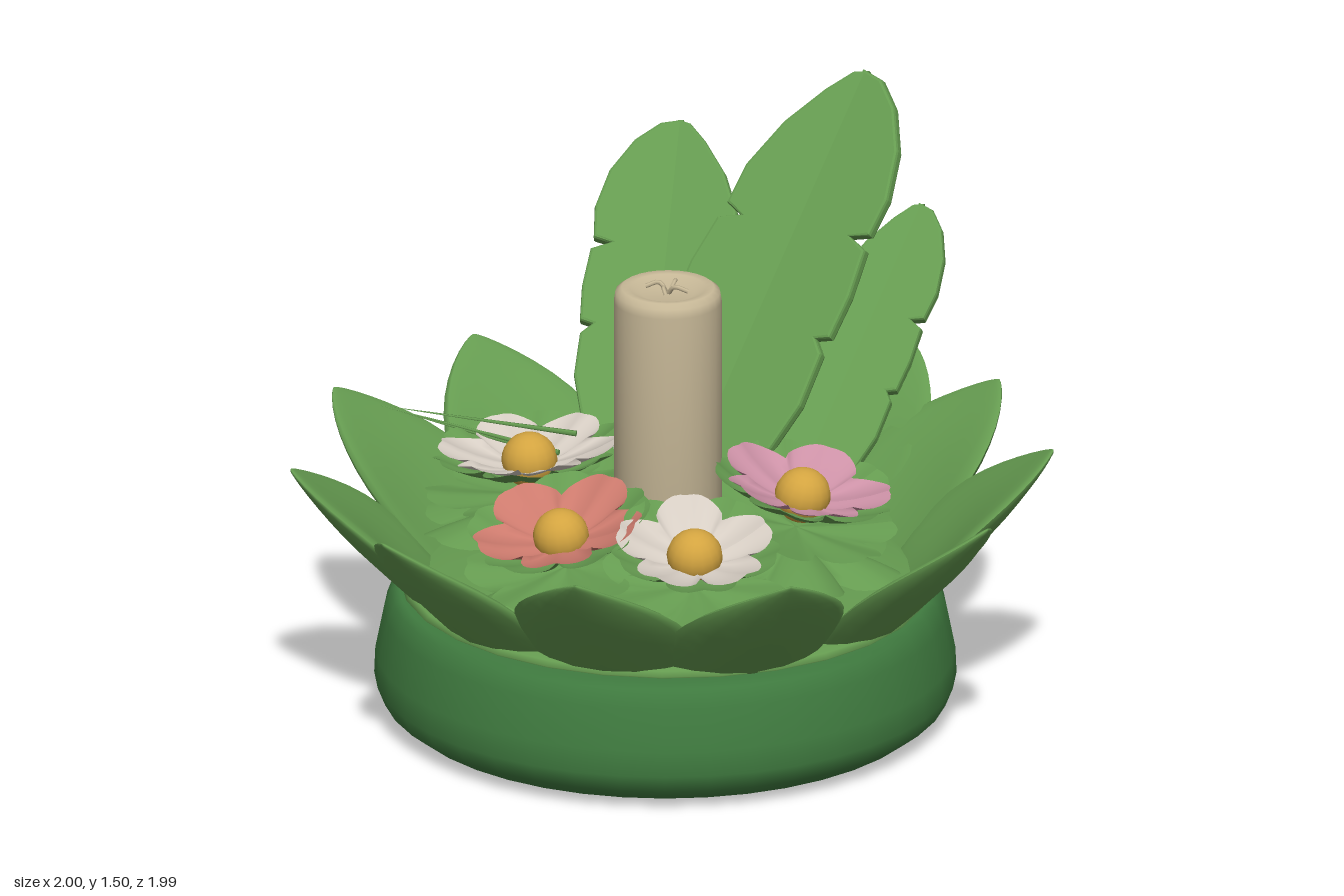
import * as THREE from 'three';

const mat = (name, color, side = THREE.FrontSide) => {
  const m = new THREE.MeshStandardMaterial({ color, side });
  m.name = name;
  return m;
};

export function createModel() {
  const root = new THREE.Group();
  const baseGreen = mat('bowl green', 0x407c40);
  const leafGreen = mat('leaf green', 0x659b50, THREE.DoubleSide);
  const wax = mat('candle wax', 0xc8b998);
  const white = mat('white petal', 0xd6cdc3, THREE.DoubleSide);
  const pink = mat('pink petal', 0xcc91a6, THREE.DoubleSide);
  const coral = mat('coral petal', 0xcc7a6d, THREE.DoubleSide);
  const gold = mat('golden centre', 0xd3a440);

  const add = (parent, name, geo, material) => {
    const m = new THREE.Mesh(geo, material);
    m.name = name;
    parent.add(m);
    return m;
  };
  const lathe = (pts, seg) => new THREE.LatheGeometry(pts.map(p => new THREE.Vector2(...p)), seg);

  // Round bowl
  add(root, 'bowl', lathe([[0, 0.005], [0.62, 0.01], [0.7, 0.025], [0.745, 0.06], [0.765, 0.11], [0.762, 0.18],
    [0.74, 0.29], [0.722, 0.34], [0.7, 0.355], [0, 0.355]], 40), baseGreen).position.z = 0.05;

  // Cupped blade running outwards along +z and rising to a rounded point
  const blade = (r0, r1, y0, y1, halfWidth, thick) => {
    const g = new THREE.SphereGeometry(1, 16, 22);
    const p = g.attributes.position;
    for (let i = 0; i < p.count; i++) {
      const s = (1 - p.getY(i)) / 2;
      const ring = Math.max(Math.hypot(p.getX(i), p.getZ(i)), 1e-5);
      const w = halfWidth * Math.pow(Math.max(Math.sin(Math.PI * Math.pow(s, 1.3)), 0), 0.78);
      const x = p.getX(i) / ring * w;
      const t = p.getZ(i) / ring * thick * Math.min(1, w / halfWidth + 0.1);
      const y = y0 + (y1 - y0) * Math.pow(s, 1.1);
      p.setXYZ(i, x, y + t * 0.75 + x * x * 0.4, r0 + (r1 - r0) * s - t * 0.65 - x * x * 0.9);
    }
    g.computeVertexNormals();
    return g;
  };

  // Ring of eleven outer leaves
  const tips = [[0.21, -0.97], [0.53, -0.84], [0.89, -0.45], [1.0, 0.14], [0.73, 0.75], [0.22, 1.0],
    [-0.37, 0.96], [-0.83, 0.59], [-1.0, 0.01], [-0.85, -0.5], [-0.3, -0.97]];
  const ring = new THREE.Group();
  ring.name = 'outerLeaves';
  ring.position.z = 0.02;
  root.add(ring);
  tips.forEach(([x, z]) => {
    const g = blade(0.39, Math.hypot(x, z - 0.02), 0.13, 0.72, 0.238, 0.032);
    add(ring, 'outerLeaf', g, leafGreen).rotation.y = Math.atan2(x, z - 0.02);
  });

  // Leafy floor inside the ring
  const mound = add(root, 'leafFloor', new THREE.SphereGeometry(1, 28, 16), leafGreen);
  mound.scale.set(0.7, 0.06, 0.68);
  mound.position.set(0, 0.36, 0.05);

  // Candle with a softened rim and curled wick
  const candle = new THREE.Group();
  candle.name = 'candle';
  candle.position.set(-0.003, 0, 0.03);
  root.add(candle);
  add(candle, 'candleBody', lathe([[0, 0.38], [0.142, 0.38], [0.142, 1.15], [0.138, 1.175], [0.122, 1.187],
    [0.1, 1.185], [0.07, 1.172], [0, 1.17]], 28), wax);
  for (let i = 0; i < 4; i++) {
    const curve = new THREE.CatmullRomCurve3([[0, 1.165, 0], [0.025, 1.195, 0.01], [0.06, 1.185, 0]]
      .map(p => new THREE.Vector3(...p).applyAxisAngle(new THREE.Vector3(0, 1, 0), i * 1.7)));
    add(candle, 'wickStrand', new THREE.TubeGeometry(curve, 8, 0.006, 6), wax);
  }

  // Lobed, cupped disc of petals
  const corolla = (R, lobes, cup) => {
    const g = new THREE.RingGeometry(0.02, 1, lobes * 14, 5);
    const p = g.attributes.position;
    for (let i = 0; i < p.count; i++) {
      const a = Math.atan2(p.getY(i), p.getX(i)), r = Math.hypot(p.getX(i), p.getY(i));
      const c = Math.abs(Math.cos(a * lobes / 2));
      const k = R * (0.66 + 0.34 * Math.pow(c, 0.65) - 0.06 * Math.pow(c, 24)) * r;
      p.setXYZ(i, Math.cos(a) * k, cup * r * r + 0.012 * r * Math.cos(a * lobes), -Math.sin(a) * k);
    }
    g.computeVertexNormals();
    return g;
  };

  // Flowers: x, y, z, radius, lobes, colour, outward tilt, turn
  [[-0.41, 0.61, 0.03, 0.245, 6, white, 0.08, 0.3], [0.34, 0.61, -0.07, 0.235, 5, pink, 0.2, 0.5],
    [-0.12, 0.58, 0.41, 0.235, 5, coral, 0.25, 0.1], [0.25, 0.575, 0.37, 0.215, 5, white, 0.25, 0.9],
  ].forEach(([x, y, z, R, lobes, color, tilt, turn]) => {
    const f = new THREE.Group();
    f.name = 'flower';
    f.position.set(x, y, z);
    f.quaternion.setFromAxisAngle(new THREE.Vector3(z, 0, -x).normalize(), tilt);
    root.add(f);
    add(f, 'flowerPetals', corolla(R, lobes, 0.06), color).rotation.y = turn;
    const calyx = add(f, 'calyx', corolla(R * 1.08, lobes, 0.075), leafGreen);
    calyx.rotation.y = turn + Math.PI / lobes;
    calyx.position.y = -0.022;
    // Leafy tiers below the bloom, drooping towards the floor
    [[1.18, 0.02, -0.075, 0.25], [1.3, -0.04, -0.1, 0.7]].forEach(([k, cup, dy, da]) => {
      const tier = add(f, 'leafTier', corolla(R * k, 6, cup), leafGreen);
      tier.rotation.y = turn + da;
      tier.position.y = dy;
    });
    add(f, 'flowerCentre', new THREE.SphereGeometry(0.074, 16, 12), gold).position.y = 0.018;
  });

  // Tall notched leaves: two halves folded along the midrib, one side tapering more at the tip
  const half = [[0, 0], [0.5, 0.02], [0.85, 0.1], [0.98, 0.22], [0.96, 0.35], [0.8, 0.385], [0.98, 0.4],
    [1, 0.5], [0.95, 0.61], [0.68, 0.635], [0.93, 0.655], [0.97, 0.74], [0.86, 0.85], [0.6, 0.94], [0.28, 0.99], [0, 1]];
  const tallLeaf = (base, tip, width, roll, taperSide) => {
    const b = new THREE.Vector3(...base), v = new THREE.Vector3(...tip).sub(b);
    const len = v.length();
    v.normalize();
    const n = new THREE.Vector3(1, 0, 0).cross(v).normalize().applyAxisAngle(v, roll);
    const leaf = new THREE.Group();
    leaf.name = 'tallLeaf';
    leaf.quaternion.setFromRotationMatrix(new THREE.Matrix4().makeBasis(v.clone().cross(n), v, n));
    leaf.position.copy(b);
    root.add(leaf);
    for (const s of [-1, 1]) {
      const taper = s === taperSide ? 0.6 : 0.15;
      const shape = new THREE.Shape(half.map(([x, y]) =>
        new THREE.Vector2(s * x * width * (1 - taper * y ** 5), len * (y - 0.08 * taper * Math.sin(Math.PI * y)))));
      const g = new THREE.ExtrudeGeometry(shape, { depth: 0.016, bevelThickness: 0.009, bevelSize: 0.008, bevelSegments: 2 });
      add(leaf, 'tallLeafHalf', g, leafGreen).rotation.y = -s * 0.1;
    }
  };
  tallLeaf([-0.03, 0.6, -0.17], [0.12, 1.49, -0.88], 0.235, 0, -1);
  tallLeaf([-0.2, 0.6, -0.24], [-0.48, 1.205, -0.98], 0.21, 0.1, 1);
  tallLeaf([0.25, 0.58, -0.24], [0.29, 1.15, -0.86], 0.145, 0.2, -1);

  // Slender grass spikes on one side
  [[-0.35, 0.66, -0.12], [-0.45, 0.62, -0.06], [-0.34, 0.65, 0.0]].forEach(p => {
    const a = new THREE.Vector3(...p), d = new THREE.Vector3(-0.88, 0.68, -0.02).sub(a);
    const m = add(root, 'grassSpike', new THREE.ConeGeometry(0.008, d.length(), 5), leafGreen);
    m.position.copy(a).addScaledVector(d, 0.5);
    m.quaternion.setFromUnitVectors(new THREE.Vector3(0, 1, 0), d.normalize());
  });

  return root;
}
